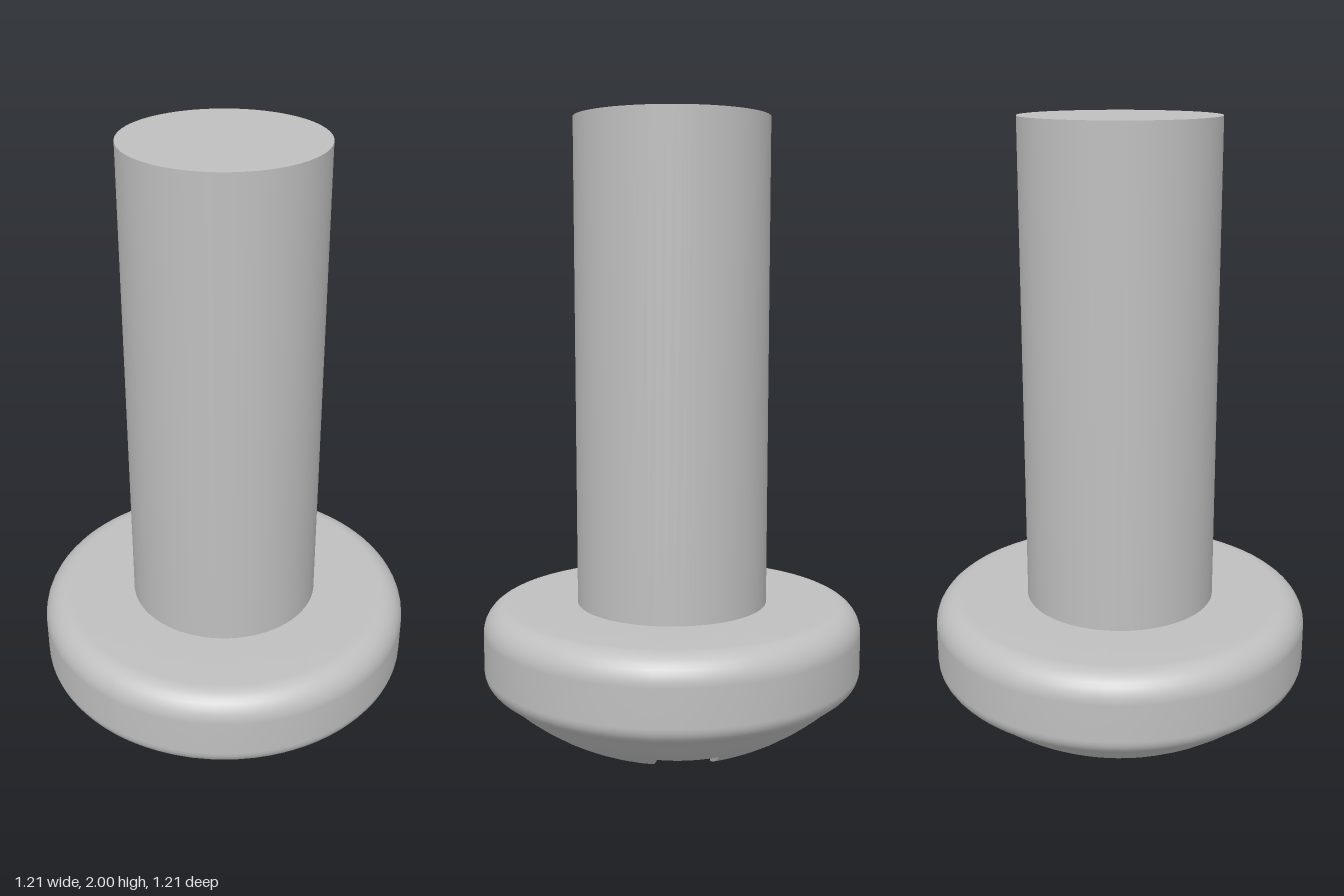
import * as THREE from 'three';
import { toCreasedNormals } from 'three/addons/utils/BufferGeometryUtils.js';

const DOME_R = 0.8, DOME_OFFSET = -0.0216, FLOOR_Y = 0.4;
const domeY = (r) => DOME_R - Math.sqrt(DOME_R * DOME_R - r * r) + DOME_OFFSET;

// Closed cross outline: one quarter (arm end, arm wall, two corner facets, arm wall) turned four times
function crossOutline(reach, half, shoulder, corner) {
  const quarter = [[reach, -half], [reach, half], [shoulder, half], [corner, corner], [half, shoulder], [half, reach]];
  const steps = [6, 4, 5, 5, 4];
  const points = [];
  for (let q = 0; q < 4; q++) {
    const c = Math.round(Math.cos(q * Math.PI / 2)), s = Math.round(Math.sin(q * Math.PI / 2));
    steps.forEach((n, k) => {
      for (let i = 0; i < n; i++) {
        const t = i / n;
        const x = quarter[k][0] * (1 - t) + quarter[k + 1][0] * t;
        const z = quarter[k][1] * (1 - t) + quarter[k + 1][1] * t;
        points.push([x * c - z * s, x * s + z * c]);
      }
    });
  }
  return points;
}

// Surface through closed rings of equal length
function ringSurface(rings) {
  const n = rings[0].length, index = [];
  for (let i = 0; i < rings.length - 1; i++) {
    for (let j = 0; j < n; j++) {
      const a = i * n + j, b = i * n + (j + 1) % n;
      index.push(a, a + n, b, b, a + n, b + n);
    }
  }
  const g = new THREE.BufferGeometry();
  g.setAttribute('position', new THREE.Float32BufferAttribute(rings.flat(2), 3));
  g.setIndex(index);
  g.computeVertexNormals();
  return g;
}

export function createModel() {
  const group = new THREE.Group();
  const steel = new THREE.MeshStandardMaterial({ color: 0xbfbfbf });
  steel.name = 'steel grey';
  const add = (name, geometry) => {
    const mesh = new THREE.Mesh(geometry, steel);
    mesh.name = name;
    group.add(mesh);
    return mesh;
  };

  // Shaft
  add('shaft', new THREE.CylinderGeometry(0.305, 0.305, 1.53, 72)).position.y = 1.235;

  // Head: dome around the cross opening, then rounded rim and flat shoulder
  const opening = crossOutline(0.435, 0.092, 0.25, 0.13);
  const headRings = [];
  const domeEdge = 0.56;
  for (let i = 0; i <= 8; i++) {
    headRings.push(opening.map(([x, z]) => {
      const r0 = Math.hypot(x, z), r = r0 + (domeEdge - r0) * i / 8;
      return [x / r0 * r, domeY(r), z / r0 * r];
    }));
  }
  const rim = [];
  const lowerFillet = new THREE.QuadraticBezierCurve(
    new THREE.Vector2(domeEdge, domeY(domeEdge)), new THREE.Vector2(0.607, 0.232), new THREE.Vector2(0.607, 0.27));
  rim.push(...lowerFillet.getPoints(6).slice(1));
  for (let i = 0; i <= 8; i++) {
    const a = i / 8 * Math.PI / 2;
    rim.push(new THREE.Vector2(0.522 + 0.085 * Math.cos(a), 0.39 + 0.085 * Math.sin(a)));
  }
  rim.push(new THREE.Vector2(0.3, 0.475));
  for (const p of rim) {
    headRings.push(opening.map(([x, z]) => {
      const k = p.x / Math.hypot(x, z);
      return [x * k, p.y, z * k];
    }));
  }
  add('head', ringSurface(headRings));

  // Cross recess: floor and tapering walls
  const floor = crossOutline(0.29, 0.075, 0.21, 0.11);
  const recess = ringSurface([
    floor.map(([x, z]) => [x * 0.002, FLOOR_Y + 0.02, z * 0.002]),
    floor.map(([x, z]) => [x, FLOOR_Y, z]),
    opening.map(([x, z]) => [x, domeY(Math.hypot(x, z)), z]),
  ]);
  add('crossRecess', toCreasedNormals(recess, 0.3));

  return group;
}
